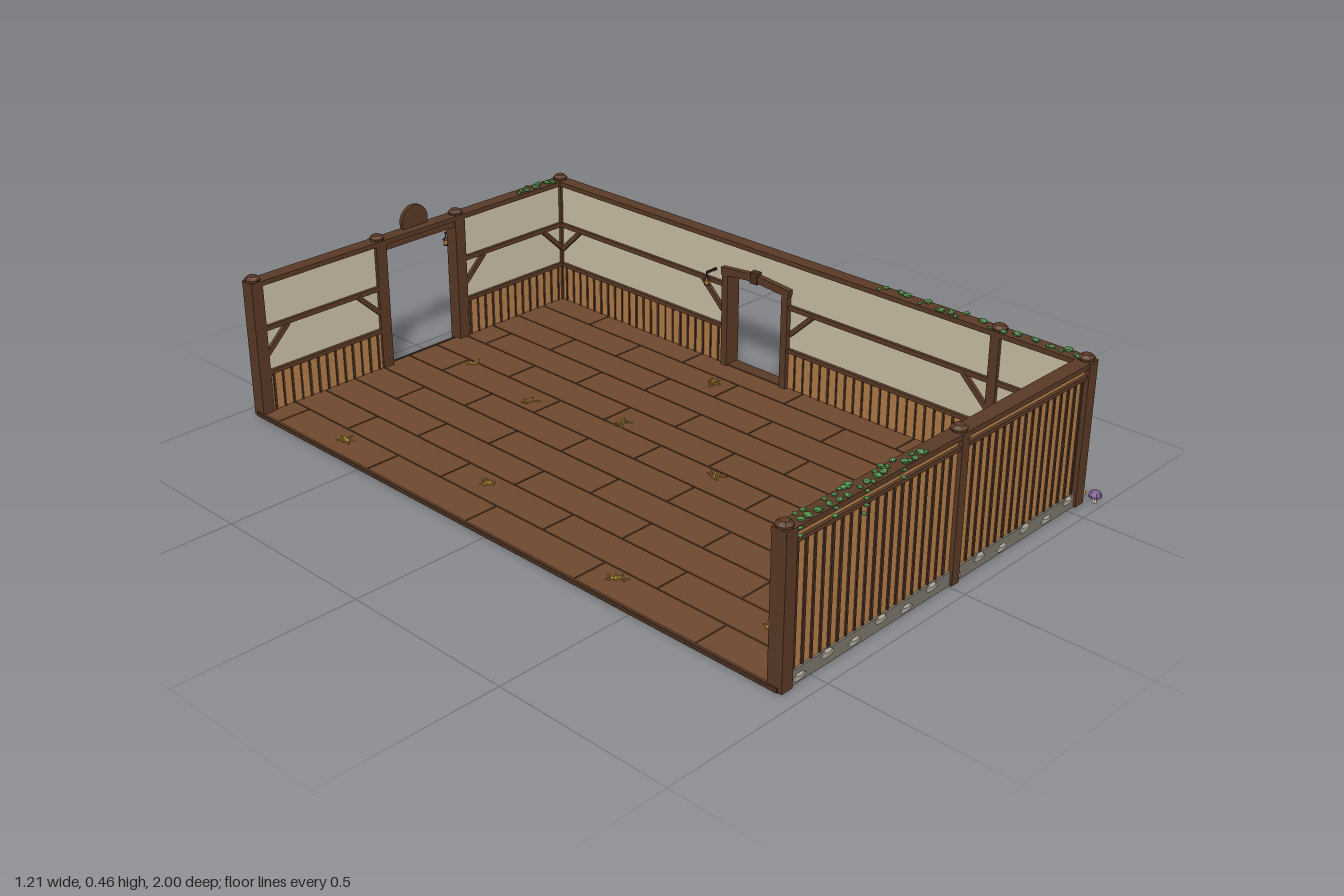
import * as THREE from 'three';
import { mergeGeometries } from 'three/addons/utils/BufferGeometryUtils.js';

const C = { plank: 0xb57e48, batten: 0x4a3020, beam: 0x5a3a26, plaster: 0xcfc4aa, mortar: 0x7d776c, stone: 0xaba59a,
  floor: 0x70492f, under: 0x2a1c12, straw: 0xb08a35, leaf: 0x4f8a4a, iron: 0x33241c, gold: 0xd09a45, purple: 0x75588a, pale: 0xd8ccb0 };
const mats = {};
const mat = (c) => (mats[c] ??= new THREE.MeshStandardMaterial({ color: C[c], flatShading: true }));
let seed = 7;
const rnd = () => (seed = (seed * 16807) % 2147483647) / 2147483647;

function add(parent, name, color, geo, x = 0, y = 0, z = 0) {
  const m = new THREE.Mesh(geo, mat(color));
  m.name = name;
  m.position.set(x, y, z);
  parent.add(m);
  return m;
}
// Box given by its ranges on each axis
function span(parent, name, color, x0, x1, y0, y1, z0, z1) {
  return add(parent, name, color, new THREE.BoxGeometry(x1 - x0, y1 - y0, z1 - z0), (x0 + x1) / 2, (y0 + y1) / 2, (z0 + z1) / 2);
}
// Bar between two points of a wall's plane
function brace(parent, name, x0, y0, x1, y1, z, w = 0.014, d = 0.012) {
  const m = add(parent, name, 'beam', new THREE.BoxGeometry(Math.hypot(x1 - x0, y1 - y0), w, d), (x0 + x1) / 2, (y0 + y1) / 2, z);
  m.rotation.z = Math.atan2(y1 - y0, x1 - x0);
}
// Evenly spaced upright strips, as one mesh
function battens(parent, name, a, b, y0, y1, z) {
  const n = Math.max(1, Math.round((b - a) / 0.03)), list = [];
  for (let i = 0; i <= n; i++) {
    const g = new THREE.BoxGeometry(0.005 + 0.003 * rnd(), y1 - y0, 0.006);
    list.push(g.translate(a + ((b - a) * i) / n, (y0 + y1) / 2, z));
  }
  add(parent, name, 'batten', mergeGeometries(list));
}

// Wall piece from a to b: local x runs along it, +z faces outside
function wallPiece(parent, a, b) {
  span(parent, 'wallBoards', 'plank', a, b, 0.035, 0.388, 0, 0.01);
  battens(parent, 'wallBattens', a, b, 0.04, 0.358, 0.011);
  span(parent, 'upperRail', 'beam', a, b, 0.357, 0.368, 0.008, 0.018);
  span(parent, 'plaster', 'plaster', a, b, 0.12, 0.388, -0.01, 0);
  span(parent, 'wainscot', 'plank', a, b, 0.008, 0.125, -0.013, 0);
  battens(parent, 'wainscotBattens', a, b, 0.008, 0.125, -0.013);
  span(parent, 'wainscotRail', 'beam', a, b, 0.122, 0.134, -0.02, -0.008);
  span(parent, 'stoneBase', 'mortar', a, b, 0, 0.038, -0.008, 0.016);
  const n = Math.round((b - a) / 0.095), stones = [];
  for (let i = 0; i < n; i++) {
    const g = new THREE.DodecahedronGeometry(1, 0).scale(0.025, 0.012, 0.007);
    stones.push(g.translate(a + ((b - a) * (i + 0.5)) / n, i % 2 ? 0.028 : 0.014, 0.015));
  }
  add(parent, 'baseStones', 'stone', mergeGeometries(stones));
}
// Inside timber of one bay between two posts
function bay(parent, a, b) {
  span(parent, 'middleRail', 'beam', a, b, 0.252, 0.266, -0.019, -0.008);
  for (const [p, s] of [[a, 1], [b, -1]]) brace(parent, 'kneeBrace', p + s * 0.012, 0.18, p + s * 0.09, 0.255, -0.014);
}
function post(parent, x, w = 0.03) {
  span(parent, 'post', 'beam', x - w / 2, x + w / 2, 0, 0.4, -0.02, 0.022);
  const cap = new THREE.CylinderGeometry(0.013, 0.022, 0.008, 8).translate(0, 0.008, 0);
  add(parent, 'postCap', 'beam', mergeGeometries([cap, new THREE.CylinderGeometry(0.022, 0.02, 0.008, 8)]), x, 0.403, 0);
}
// Lantern hanging from an arm; dir is +1 outside, -1 inside
function lantern(parent, x, y, dir) {
  const g = new THREE.Group();
  g.name = 'lantern';
  g.position.set(x, y, 0);
  span(g, 'arm', 'iron', -0.003, 0.003, 0.022, 0.028, Math.min(0, dir * 0.05), Math.max(0, dir * 0.05));
  add(g, 'hook', 'iron', new THREE.CylinderGeometry(0.002, 0.002, 0.02, 5), 0, 0.016, dir * 0.05);
  add(g, 'lanternRoof', 'iron', new THREE.ConeGeometry(0.011, 0.009, 6), 0, 0.008, dir * 0.05);
  add(g, 'lanternGlass', 'gold', new THREE.CylinderGeometry(0.008, 0.006, 0.016, 6), 0, -0.004, dir * 0.05);
  add(g, 'lanternFoot', 'iron', new THREE.CylinderGeometry(0.008, 0.008, 0.003, 6), 0, -0.013, dir * 0.05);
  parent.add(g);
}
// Ivy along a wall's top, with strands hanging down outside
function ivy(parent, a, b, count, strands) {
  const list = [];
  const leaf = (x, y, z, r) => list.push(new THREE.IcosahedronGeometry(r, 0).scale(1.2, 0.6, 1).rotateY(rnd() * 6).translate(x, y, z));
  for (let i = 0; i < count; i++) {
    const x = a + ((b - a) * (i + rnd() * 0.8)) / count;
    leaf(x, 0.405, (rnd() - 0.5) * 0.034, 0.008 + 0.004 * rnd());
    leaf(x + 0.012, 0.403, (rnd() - 0.5) * 0.034, 0.007);
  }
  for (const [x, n] of strands) for (let i = 0; i < n; i++) leaf(x + (rnd() - 0.5) * 0.01, 0.395 - i * 0.018, 0.023, 0.007);
  add(parent, 'ivy', 'leaf', mergeGeometries(list));
}

export function createModel() {
  seed = 7;
  const model = new THREE.Group();
  const wall = (name, x, z, turn) => {
    const g = new THREE.Group();
    g.name = name;
    g.position.set(x, 0, z);
    g.rotation.y = turn;
    model.add(g);
    return g;
  };

  // Floor: dark slab, staggered boards, edge sill and straw
  span(model, 'floorSlab', 'under', -0.603, 0.56, 0, 0.006, -0.955, 0.95);
  const boards = [], cols = 11, w = 1.15 / cols;
  for (let c = 0; c < cols; c++) {
    const cuts = [-0.94];
    for (let z = -0.86 + ((c * 0.17) % 0.39); z < 0.9; z += 0.39) cuts.push(z);
    cuts.push(0.935);
    for (let i = 0; i + 1 < cuts.length; i++) {
      const l = cuts[i + 1] - cuts[i];
      boards.push(new THREE.BoxGeometry(w - 0.004, 0.006, l - 0.004).translate(-0.598 + (c + 0.5) * w, 0.008, cuts[i] + l / 2));
    }
  }
  add(model, 'floorBoards', 'floor', mergeGeometries(boards));
  span(model, 'edgeSill', 'batten', -0.606, -0.596, 0, 0.012, -0.95, 0.945);
  const straw = [];
  for (const [x, z] of [[-0.54, -0.64], [0.02, -0.77], [-0.03, -0.46], [-0.43, -0.19], [0.05, -0.18], [0.41, -0.17], [0, 0.21],
    [-0.53, 0.38], [0.22, 0.56], [0.03, 0.63], [-0.42, 0.78], [-0.2, 0.82], [0.39, 0.77]])
    for (let i = 0; i < 7; i++)
      straw.push(new THREE.BoxGeometry(0.035, 0.014, 0.003).rotateY(rnd() * 6.3).translate(x + (rnd() - 0.5) * 0.025, 0.0065, z + (rnd() - 0.5) * 0.025));
  add(model, 'straw', 'straw', mergeGeometries(straw));

  // Front wall
  const front = wall('frontWall', 0, 0.935, 0);
  wallPiece(front, -0.585, 0.545);
  span(front, 'topBeam', 'beam', -0.604, 0.565, 0.386, 0.4, -0.021, 0.021);
  for (const x of [-0.585, 0.02, 0.545]) post(front, x, x === 0.02 ? 0.028 : 0.036);
  bay(front, -0.585, 0.02);
  bay(front, 0.02, 0.545);
  ivy(front, -0.56, -0.11, 16, [[-0.56, 2], [-0.45, 2], [-0.345, 4], [-0.21, 2]]);

  // Right-hand wall with doorway; local x runs towards the back
  const side = wall('sideWall', 0.545, 0, Math.PI / 2);
  wallPiece(side, -0.93, 0.005);
  wallPiece(side, 0.235, 0.935);
  span(side, 'boardsOverDoor', 'plank', 0.005, 0.235, 0.31, 0.388, 0, 0.01);
  span(side, 'plasterOverDoor', 'plaster', 0.005, 0.235, 0.31, 0.388, -0.01, 0);
  battens(side, 'battensOverDoor', 0.02, 0.22, 0.31, 0.358, 0.011);
  span(side, 'railOverDoor', 'beam', 0.005, 0.235, 0.357, 0.368, 0.008, 0.018);
  span(side, 'topBeam', 'beam', -0.94, 0.945, 0.386, 0.4, -0.021, 0.021);
  post(side, -0.68, 0.028);
  bay(side, -0.93, -0.68);
  bay(side, -0.68, 0.005);
  bay(side, 0.235, 0.93);
  for (const x of [0.01, 0.233]) span(side, 'doorJamb', 'beam', x - 0.011, x + 0.011, 0, 0.31, -0.026, 0.024);
  brace(side, 'doorLintel', -0.005, 0.302, 0.122, 0.314, 0, 0.022, 0.052);
  brace(side, 'doorLintel', 0.122, 0.314, 0.248, 0.302, 0, 0.022, 0.052);
  span(side, 'keystone', 'batten', 0.109, 0.135, 0.298, 0.332, -0.03, 0.028);
  span(side, 'threshold', 'beam', 0.01, 0.235, 0, 0.014, -0.02, 0.022);
  lantern(side, -0.028, 0.27, 1);
  lantern(side, 0.28, 0.27, -1);
  ivy(side, -0.94, -0.29, 15, [[-0.94, 4], [-0.89, 3], [-0.68, 3], [-0.48, 3], [-0.33, 1]]);

  // Back wall with wide gateway; local x is mirrored
  const back = wall('backWall', 0, -0.94, Math.PI);
  for (const [a, b] of [[-0.545, -0.125], [0.165, 0.585]]) {
    wallPiece(back, a, b);
    bay(back, a, b);
    // Framed cross on the outside
    const l = a + 0.04, r = b - 0.04;
    for (const y of [0.065, 0.33]) brace(back, 'panelFrame', l, y, r, y, 0.018);
    for (const x of [l, r]) brace(back, 'panelFrame', x, 0.06, x, 0.335, 0.018);
    brace(back, 'crossBrace', l, 0.07, r, 0.325, 0.017);
    brace(back, 'crossBrace', l, 0.325, r, 0.07, 0.0175);
  }
  span(back, 'topBeam', 'beam', -0.565, 0.604, 0.386, 0.4, -0.021, 0.021);
  span(back, 'gateHeader', 'beam', -0.125, 0.165, 0.366, 0.388, -0.014, 0.016);
  for (const x of [-0.545, -0.125, 0.165, 0.585]) post(back, x, 0.036);
  for (const x of [-0.125, 0.165]) lantern(back, x, 0.302, 1);
  ivy(back, -0.51, -0.36, 6, [[-0.5, 2], [-0.4, 2]]);
  // Round gate plaque
  const disc = (name, color, r, d, z) => add(back, name, color, new THREE.CylinderGeometry(r, r, d, 24).rotateX(Math.PI / 2), 0.02, 0.417, z);
  disc('plaqueRim', 'beam', 0.047, 0.012, 0.012);
  disc('plaqueFace', 'pale', 0.036, 0.004, 0.019);
  const shoe = add(back, 'horseshoe', 'beam', new THREE.TorusGeometry(0.016, 0.004, 5, 14, Math.PI * 1.4), 0.02, 0.417, 0.021);
  shoe.rotation.z = -Math.PI * 0.2;

  // Small plants by the outer wall
  const mushroom = (x, z, s, color) => {
    add(model, 'mushroomStem', 'pale', new THREE.CylinderGeometry(0.005 * s, 0.007 * s, 0.022 * s, 6), x, 0.011 * s, z);
    add(model, 'mushroomCap', color, new THREE.SphereGeometry(0.018 * s, 8, 4, 0, Math.PI * 2, 0, Math.PI / 2), x, 0.018 * s, z);
    add(model, 'mushroomGills', color, new THREE.CylinderGeometry(0.018 * s, 0.012 * s, 0.003 * s, 8), x, 0.018 * s, z);
  };
  mushroom(0.585, 0.977, 1, 'purple');
  mushroom(0.588, 0.938, 0.6, 'gold');
  mushroom(0.588, 0.16, 0.75, 'gold');
  return model;
}
